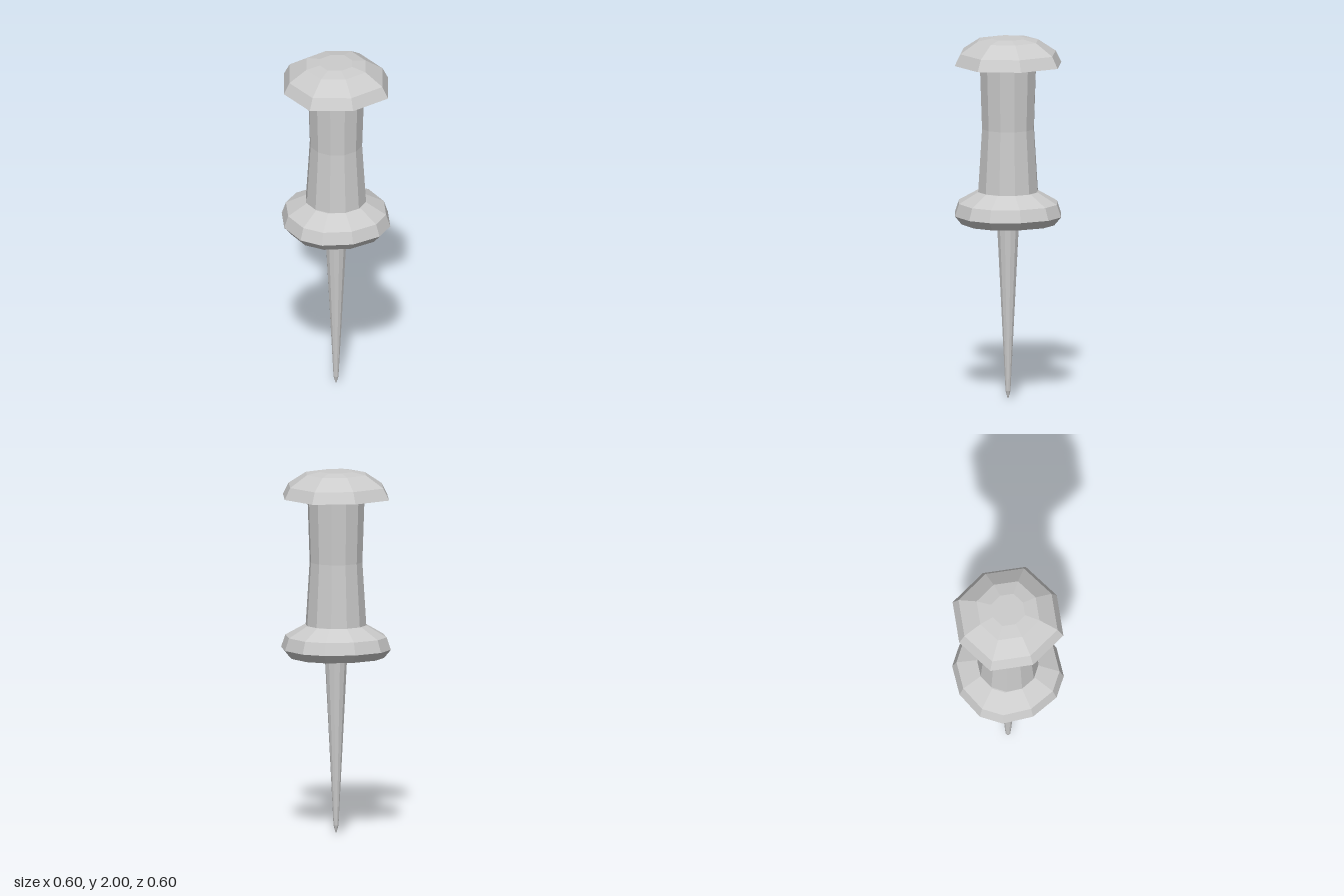
import * as THREE from 'three';

const material = new THREE.MeshStandardMaterial({ color: 0xcccccc, flatShading: true });

// Faceted turned part; profile runs from bottom to top as [radius, y].
// "bulge" scales the larger and smaller horizontal component of off-axis corners.
function turned(name, profile, sides, bulge = [1, 1]) {
  const points = profile.map(([r, y]) => new THREE.Vector2(r, y));
  const geometry = new THREE.LatheGeometry(points, sides);
  const p = geometry.attributes.position;
  for (let i = 0; i < p.count; i++) {
    const x = p.getX(i), z = p.getZ(i);
    if (Math.min(Math.abs(x), Math.abs(z)) < 1e-5) continue;
    const xLarger = Math.abs(x) >= Math.abs(z);
    p.setX(i, x * (xLarger ? bulge[0] : bulge[1]));
    p.setZ(i, z * (xLarger ? bulge[1] : bulge[0]));
  }
  geometry.computeVertexNormals();
  const mesh = new THREE.Mesh(geometry, material);
  mesh.name = name;
  return mesh;
}

export function createModel() {
  const pin = new THREE.Group();
  pin.name = 'pushPin';

  // Tapered needle with a blunt tip
  pin.add(turned('needle', [[0, 0], [0.004, 0.01], [0.014, 0.045], [0.062, 0.98]], 12));

  // Wide collar above the needle
  pin.add(turned('collar', [
    [0, 0.976], [0.26, 0.976], [0.298, 1.022], [0.275, 1.09], [0.168, 1.152], [0, 1.152],
  ], 12, [1, 1.11]));

  // Waisted grip
  pin.add(turned('grip', [[0.168, 1.15], [0.146, 1.5], [0.158, 1.857]], 12));

  // Eight-sided domed cap
  pin.add(turned('cap', [
    [0, 1.856], [0.3, 1.856], [0.268, 1.92], [0.17, 1.986], [0.093, 2], [0, 2],
  ], 8, [1.06, 1.06]));

  return pin;
}
